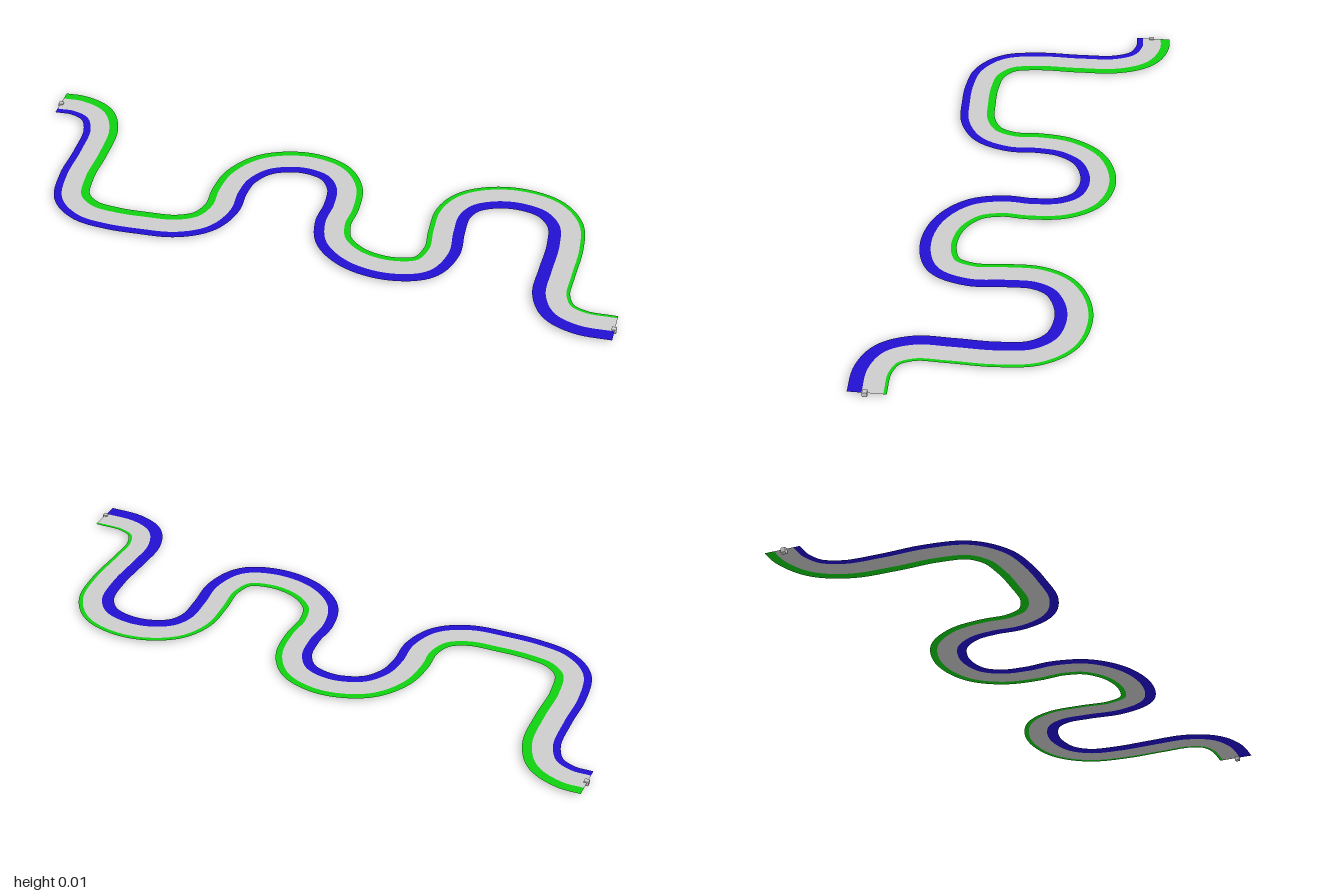
import * as THREE from 'three';

const ROAD_Y = 0.011;
const HALF_WIDTH = 0.058;
const STEPS = 400;

// Centre line of the winding road as [x, z]
const PATH = [
  [-0.995, -0.39], [-0.93, -0.388], [-0.857, -0.352], [-0.815, -0.267], [-0.81, -0.134],
  [-0.815, 0], [-0.795, 0.112], [-0.73, 0.172], [-0.64, 0.192], [-0.537, 0.195],
  [-0.425, 0.187], [-0.345, 0.144], [-0.307, 0.064], [-0.305, -0.03], [-0.286, -0.118],
  [-0.222, -0.198], [-0.104, -0.233], [0.003, -0.203], [0.056, -0.128], [0.067, -0.027],
  [0.059, 0.064], [0.083, 0.155], [0.163, 0.225], [0.281, 0.25], [0.382, 0.22],
  [0.422, 0.134], [0.42, 0.027], [0.425, -0.07], [0.463, -0.139], [0.537, -0.18],
  [0.628, -0.19], [0.725, -0.16], [0.783, -0.086], [0.797, 0.027], [0.789, 0.16],
  [0.786, 0.267], [0.82, 0.342], [0.89, 0.377], [0.995, 0.382],
];

// Flat strip between two sideways offsets, each a function of u along the curve
function ribbon(curve, outer, inner) {
  const positions = [], normals = [], indices = [];
  for (let i = 0; i <= STEPS; i++) {
    const u = i / STEPS;
    const p = curve.getPointAt(u), t = curve.getTangentAt(u);
    for (const d of [outer(u), inner(u)]) {
      positions.push(p.x + t.z * d, ROAD_Y, p.z - t.x * d);
      normals.push(0, 1, 0);
    }
    if (i < STEPS) {
      const a = i * 2;
      indices.push(a, a + 1, a + 2, a + 1, a + 3, a + 2);
    }
  }
  const g = new THREE.BufferGeometry();
  g.setAttribute('position', new THREE.Float32BufferAttribute(positions, 3));
  g.setAttribute('normal', new THREE.Float32BufferAttribute(normals, 3));
  g.setIndex(indices);
  return g;
}

export function createModel() {
  const group = new THREE.Group();
  group.name = 'windingRoad';

  const material = (name, color) => {
    const m = new THREE.MeshStandardMaterial({ color, side: THREE.DoubleSide });
    m.name = name;
    return m;
  };
  const grey = material('roadGrey', 0xcccccc);
  const green = material('vergeGreen', 0x10d010);
  const blue = material('vergeBlue', 0x2210d0);

  const add = (name, geometry, mat) => {
    const mesh = new THREE.Mesh(geometry, mat);
    mesh.name = name;
    group.add(mesh);
    return mesh;
  };

  const curve = new THREE.CatmullRomCurve3(
    PATH.map(([x, z]) => new THREE.Vector3(x, ROAD_Y, z)), false, 'centripetal');
  curve.arcLengthDivisions = 1000;

  // The green verge narrows along the road while the blue one widens
  const left = () => HALF_WIDTH;
  const roadLeft = (u) => HALF_WIDTH - (0.031 - 0.021 * u);
  const roadRight = (u) => -HALF_WIDTH + (0.022 + 0.021 * u);
  const right = () => -HALF_WIDTH;

  add('greenVerge', ribbon(curve, left, roadLeft), green);
  add('roadSurface', ribbon(curve, roadLeft, roadRight), grey);
  add('blueVerge', ribbon(curve, roadRight, right), blue);

  // Small connector blocks at both ends
  const block = new THREE.BoxGeometry(0.015, 0.015, 0.015);
  add('startConnector', block, grey).position.set(-0.9925, 0.0075, -0.385);
  add('endConnector', block, grey).position.set(0.9925, 0.0075, 0.388);

  return group;
}
